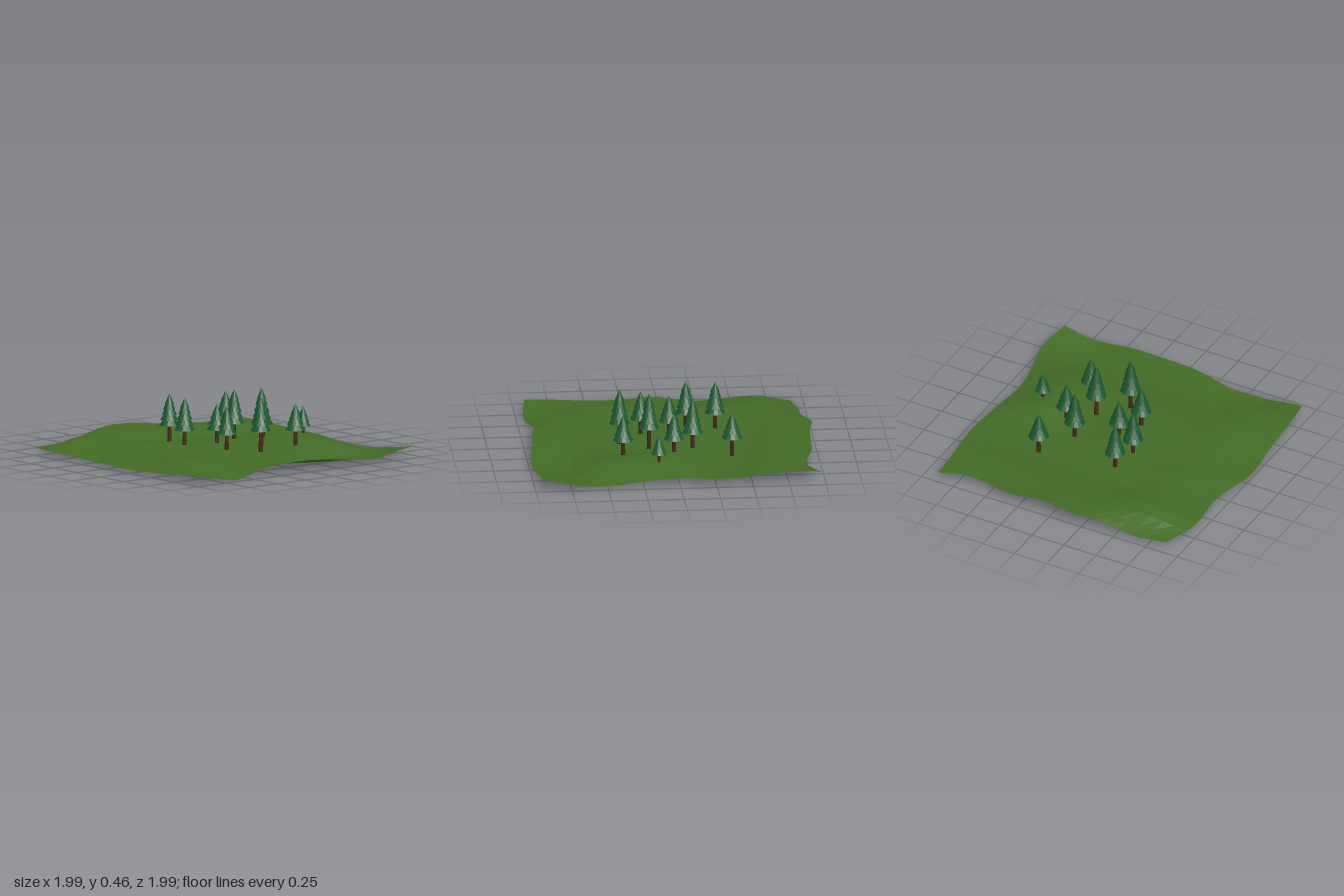
import * as THREE from 'three';

const grass = new THREE.MeshStandardMaterial({ color: 0x426a26, flatShading: true, side: THREE.DoubleSide });
const needles = new THREE.MeshStandardMaterial({ color: 0x1b562f, flatShading: true });
const bark = new THREE.MeshStandardMaterial({ color: 0x432716 });

// Smooth interpolation through evenly spaced values, t in 0..1
function sample(values, t) {
  const n = values.length - 1;
  const i = Math.min(Math.floor(t * n), n - 1);
  const f = t * n - i;
  const at = (k) => values[Math.max(0, Math.min(n, k))];
  const a = at(i - 1), b = at(i), c = at(i + 1), d = at(i + 2);
  return b + 0.5 * f * (c - a + f * (2 * a - 5 * b + 4 * c - d + f * (3 * (b - c) + d - a)));
}

// Wavy outline of the ground: sides run back to front, ends run left to right in x
const sideMinX = [-0.86, -0.94, -0.945, -0.92, -0.93, -0.99, -0.985, -0.96, -0.95, -0.945, -0.93];
const sideMaxX = [0.885, 0.89, 0.915, 0.94, 0.93, 0.91, 0.9, 0.925, 0.97, 0.995, 0.945];
const backZ = [-0.91, -0.945, -0.95, -0.965, -1, -0.97, -0.96, -0.955, -0.91, -0.9, -0.975];
const frontZ = [0.92, 0.945, 0.94, 0.895, 0.925, 0.945, 0.96, 0.985, 0.985, 0.95, 0.96];

// Rolling heights, rows from back to front
const heights = [
  [0.025, 0.03, 0.08, 0.10, 0.065, 0.05, 0.062],
  [0.04, 0.10, 0.09, 0.08, 0.075, 0.07, 0.07],
  [0.03, 0.08, 0.055, 0.045, 0.035, 0.035, 0.055],
  [0.02, 0.07, 0.07, 0.075, 0.055, 0.045, 0.045],
  [0.035, 0.05, 0.055, 0.085, 0.07, 0.105, 0.05],
  [0.025, 0.07, 0.06, 0.065, 0.055, 0.10, 0.03],
  [0.03, 0.08, 0.06, 0.05, 0.045, 0.07, 0.015],
  [0.045, 0.045, 0.04, 0.025, 0.012, 0.02, 0.04],
  [0.06, 0.003, 0.055, 0.075, 0.055, 0.03, 0.078],
];

function makeGround() {
  const geo = new THREE.PlaneGeometry(1, 1, 20, 20);
  const pos = geo.attributes.position;
  for (let i = 0; i < pos.count; i++) {
    const u = pos.getX(i) + 0.5, v = 0.5 - pos.getY(i);
    pos.setXYZ(
      i,
      THREE.MathUtils.lerp(sample(sideMinX, v), sample(sideMaxX, v), u),
      Math.max(0, sample(heights.map((row) => sample(row, u)), v)),
      THREE.MathUtils.lerp(sample(backZ, u), sample(frontZ, u), v),
    );
  }
  geo.computeVertexNormals();
  const mesh = new THREE.Mesh(geo, grass);
  mesh.name = 'ground';
  return mesh;
}

// Pine: a trunk and a stack of overlapping cones that shrink upward
function makeTree([x, z, base, skirt, top, radius, tiers]) {
  const tree = new THREE.Group();
  tree.name = 'pineTree';
  tree.position.set(x, 0, z);

  const trunkTop = skirt + 0.04;
  const trunk = new THREE.Mesh(
    new THREE.CylinderGeometry(radius * 0.16, radius * 0.22, trunkTop - base, 10), bark);
  trunk.position.y = (base + trunkTop) / 2;
  trunk.name = 'trunk';
  tree.add(trunk);

  const step = (top - skirt) / (tiers + 0.9);
  for (let i = 0; i < tiers; i++) {
    const low = skirt + i * step;
    const high = Math.min(top, low + step * 2.6);
    const cone = new THREE.Mesh(
      new THREE.ConeGeometry(radius * (1 - (0.55 * i) / (tiers - 1)), high - low, 14), needles);
    cone.position.y = (low + high) / 2;
    cone.rotation.y = i * 0.7;
    cone.name = 'foliageTier';
    tree.add(cone);
  }
  return tree;
}

// x, z, trunk base, foliage base, top, radius, tiers
const trees = [
  [-0.15, -0.33, 0.055, 0.18, 0.40, 0.071, 5],
  [-0.18, -0.13, 0.045, 0.175, 0.40, 0.071, 5],
  [0, 0, 0.07, 0.175, 0.355, 0.071, 4],
  [-0.07, 0.19, 0.065, 0.175, 0.37, 0.071, 4],
  [0.10, 0.35, 0.045, 0.20, 0.445, 0.071, 5],
  [0.27, -0.14, 0.05, 0.175, 0.415, 0.071, 5],
  [0.265, 0.16, 0.06, 0.215, 0.46, 0.071, 5],
  [0.41, -0.40, 0.045, 0.175, 0.355, 0.071, 4],
  [0.41, 0, 0.06, 0.175, 0.355, 0.071, 4],
  [0.41, 0.35, 0.06, 0.175, 0.355, 0.071, 4],
  [0.665, 0.125, 0.085, 0.15, 0.285, 0.052, 4],
];

export function createModel() {
  const model = new THREE.Group();
  model.name = 'pineGrove';
  model.add(makeGround(), ...trees.map(makeTree));
  return model;
}
